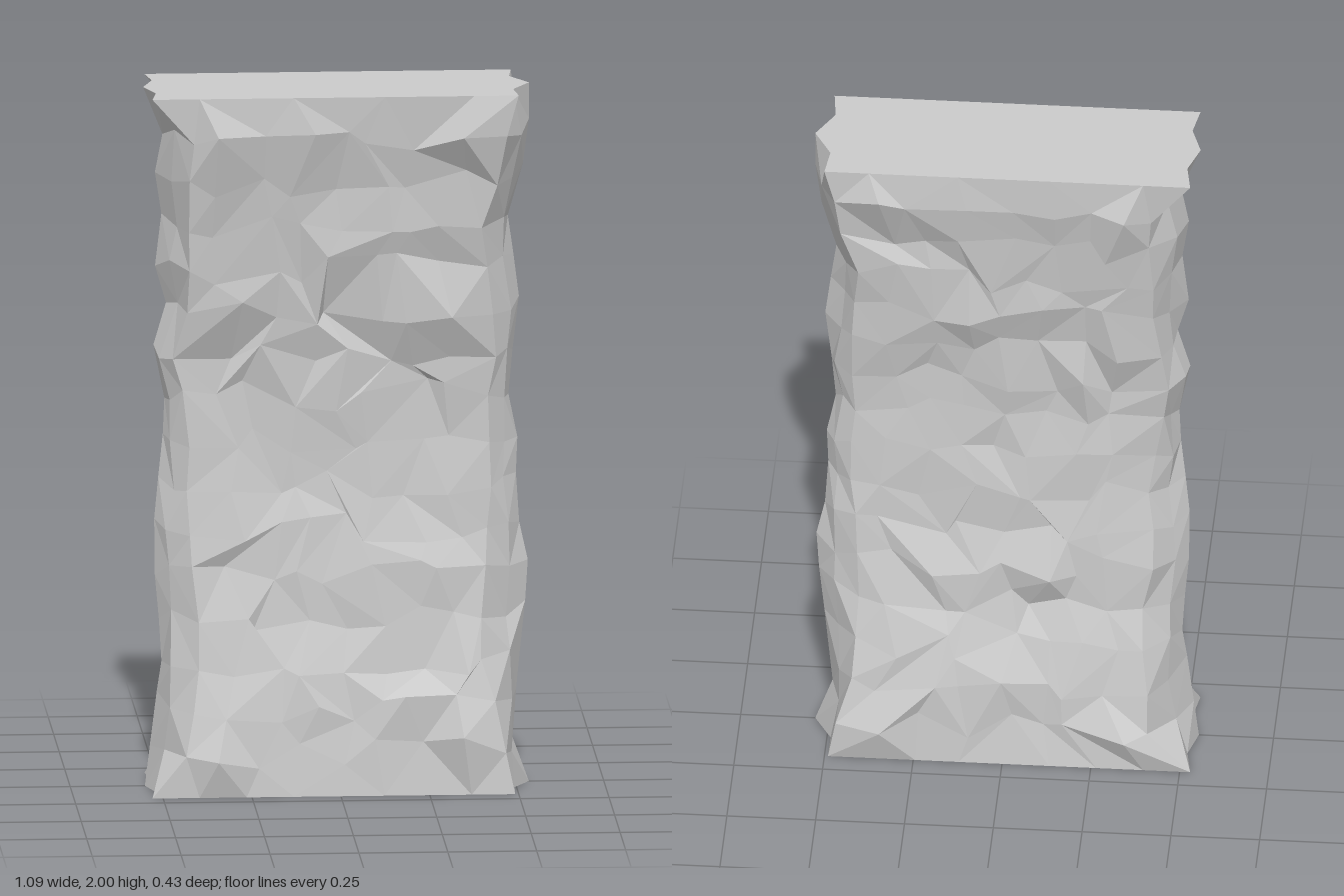
import * as THREE from 'three';
import { mergeVertices } from 'three/addons/utils/BufferGeometryUtils.js';

// Profiles as [height, value], read from bottom to top
const DEPTH = [[0, .185], [.12, .185], [.28, .168], [.45, .118], [.65, .104], [.8, .084], [1, .075], [1.15, .08],
  [1.3, .103], [1.5, .126], [1.7, .152], [1.88, .178], [2, .187]];
const LEFT = [[0, .54], [.12, .49], [.38, .515], [.62, .54], [.8, .5], [1, .508], [1.12, .48], [1.4, .513],
  [1.62, .48], [1.75, .52], [1.88, .54], [2, .54]];
const RIGHT = [[0, .54], [.25, .51], [.38, .49], [.58, .512], [.78, .514], [1, .49], [1.12, .485], [1.25, .52],
  [1.38, .48], [1.5, .515], [1.62, .49], [1.74, .515], [1.87, .49], [2, .545]];
const CORNER_LEFT = [[0, .49], [.12, .465], [.25, .44], [.4, .405], [.7, .43], [1.25, .43], [1.62, .41], [1.8, .45], [2, .5]];
const CORNER_RIGHT = [[0, .53], [.12, .42], [.5, .4], [1, .42], [1.25, .46], [1.5, .41], [1.88, .425], [2, .53]];

// Ledges and hollows as [x, y, relief]
const FRONT_CHIPS = [[-.3, 1.36, .022], [-.12, 1.25, -.02], [-.3, 1.22, -.025], [.28, 1.34, .022], [.28, 1.22, -.022],
  [-.1, 1.54, .025], [-.12, 1.39, -.022], [.05, 1.5, .015], [.28, 1.68, .028], [.28, 1.53, -.022],
  [.15, 1.79, -.025], [-.28, 1.64, .02], [-.08, 1.77, -.018], [-.12, 1.88, .015], [.22, .66, .022],
  [.24, .78, -.014], [.15, .5, .022], [.15, .4, -.024], [-.03, .7, .018], [-.1, .36, .018],
  [-.2, .27, -.018], [.25, .28, .018], [.1, .14, -.012], [-.36, .6, -.018]];
const BACK_CHIPS = [[.3, 1.75, -.026], [.15, 1.86, .018], [-.05, 1.72, -.02], [-.25, 1.66, .024], [.3, 1.62, .022],
  [.1, 1.5, .022], [-.12, 1.4, -.02], [-.3, 1.3, .022], [-.28, 1.18, -.02], [.2, 1.32, -.018],
  [.1, .9, .016], [.08, .76, -.022], [-.08, .62, .02], [-.05, .48, -.022], [.25, .55, .018],
  [.12, .32, .02], [-.2, .3, -.018], [-.05, .15, -.012]];

function sample(profile, y) {
  for (let i = 1; i < profile.length; i++) {
    const [y0, a] = profile[i - 1], [y1, b] = profile[i];
    if (y <= y1) return a + (b - a) * Math.max(0, (y - y0) / (y1 - y0));
  }
  return profile[profile.length - 1][1];
}

function relief(chips, x, y) {
  return chips.reduce((sum, [cx, cy, h]) =>
    sum + h * Math.exp(-(((x - cx) / .12) ** 2) - ((y - cy) / .065) ** 2), 0);
}

function seeded(seed) {
  return () => {
    seed = (seed * 16807) % 2147483647;
    return (seed / 2147483647) * 2 - 1;
  };
}

// Turn the diagonal of about half of the quads so the facets have no common grain
function mixDiagonals(geo, rand) {
  const index = geo.index;
  for (let i = 0; i < index.count; i += 6) {
    if (rand() > 0) continue;
    const a = index.getX(i), b = index.getX(i + 1), d = index.getX(i + 2), c = index.getX(i + 4);
    [a, b, c, a, c, d].forEach((corner, k) => index.setX(i + k, corner));
  }
}

function rockSlab() {
  const box = new THREE.BoxGeometry(2, 2, 2, 8, 16, 4);
  box.deleteAttribute('normal');
  box.deleteAttribute('uv');
  const geo = mergeVertices(box);
  const pos = geo.attributes.position;
  const rand = seeded(90210);
  mixDiagonals(geo, rand);

  for (let i = 0; i < pos.count; i++) {
    const u = pos.getX(i), v = pos.getY(i), w = pos.getZ(i);
    const jx = rand(), jy = rand(), jz = rand();
    const cap = Math.abs(v) > .99;
    const end = Math.abs(u) > .99;
    const face = Math.abs(w) > .99;
    const middle = Math.abs(w) < .1;
    const y = cap ? v + 1 : v + 1 + jy * (end ? .022 : .045);

    // Ends bulge at the middle line and draw in at the corners
    const tip = sample(u > 0 ? LEFT : RIGHT, y);
    const corner = sample(u > 0 ? CORNER_LEFT : CORNER_RIGHT, y);
    let half = tip * .6 + corner * .4;
    if (middle) half = tip;
    else if (face) half = corner;
    else if (cap) half = u > 0 ? .49 : .515;
    if (end && !cap && !middle) half += jx * .014;
    let x = u * half;
    if (!end && !cap) x += jx * .05;

    // Waisted depth with chipped relief on both broad faces
    let z = w * sample(DEPTH, y);
    if (face && !cap) {
      const chip = end ? 0 : relief(w > 0 ? FRONT_CHIPS : BACK_CHIPS, x, y);
      z += Math.sign(w) * (chip + jz * (end ? .01 : .012));
    } else if (end && !cap && !middle) z += jz * .01;

    // Pointed lumps near the four corners of each face
    const lump = Math.abs(Math.abs(u) - .75) < .01 && Math.abs(Math.abs(v) - .875) < .01;
    if (face && lump) {
      x = Math.sign(u) * .345;
      z = Math.sign(w) * .217;
    }
    pos.setXYZ(i, x, y, z);
  }

  const faceted = geo.toNonIndexed();
  faceted.computeVertexNormals();
  return faceted;
}

export function createModel() {
  const group = new THREE.Group();
  group.name = 'rockPillar';
  const stone = new THREE.MeshStandardMaterial({ color: 0xcccccc, flatShading: true });
  const slab = new THREE.Mesh(rockSlab(), stone);
  slab.name = 'rockSlab';
  group.add(slab);
  return group;
}
